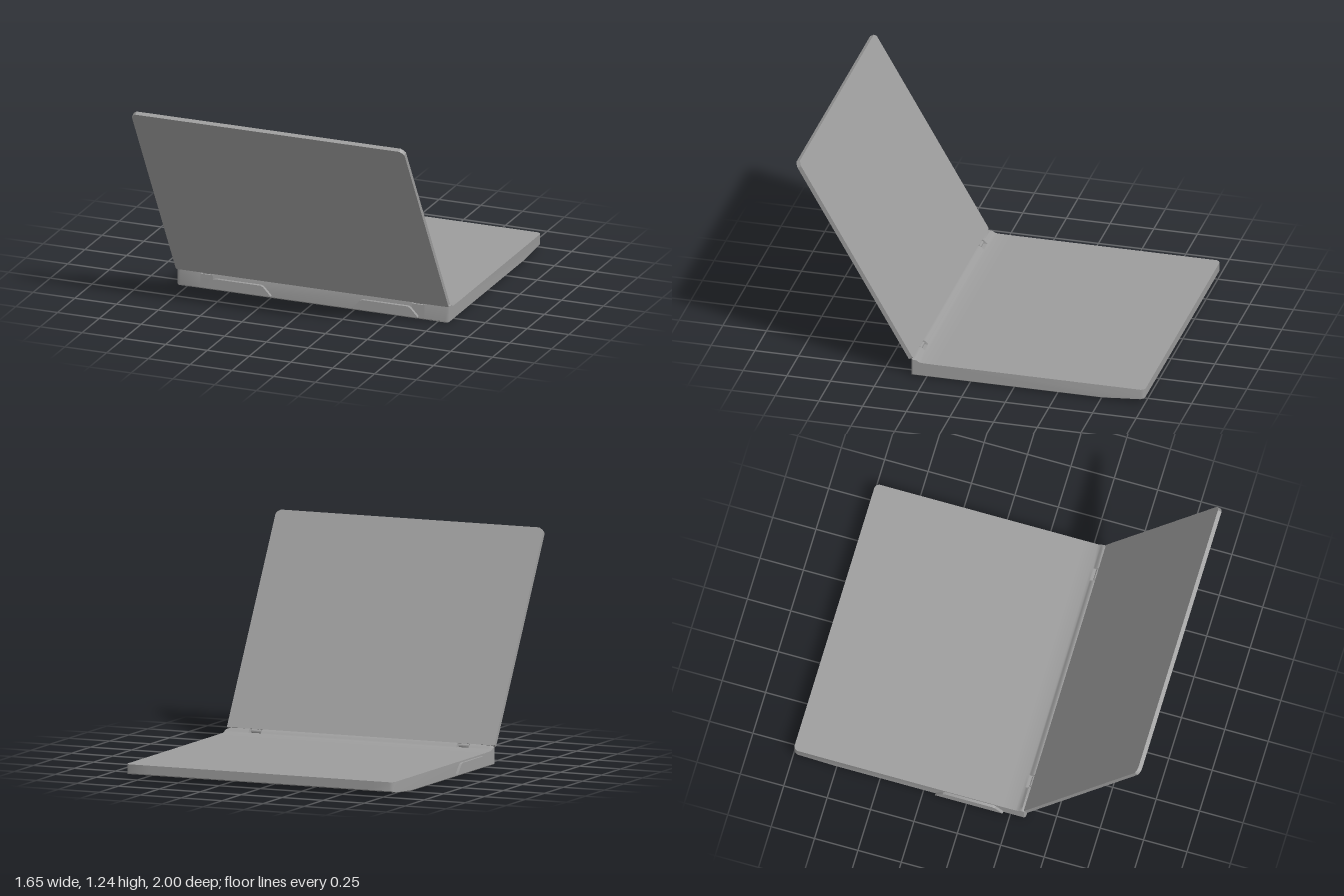
import * as THREE from 'three';
import { toCreasedNormals } from 'three/addons/utils/BufferGeometryUtils.js';

const darkGrey = new THREE.MeshStandardMaterial({ color: 0x9d9d9d });
const CENTRE = 0.005, HALF = 0.816;

function polygon(points) {
  return new THREE.Shape(points.map(([a, b]) => new THREE.Vector2(a, b)));
}

function extrude(points, depth, steps = 1) {
  return new THREE.ExtrudeGeometry(polygon(points), { depth, steps, bevelEnabled: false });
}

function addMesh(parent, name, geometry, crease = 0.4) {
  const mesh = new THREE.Mesh(toCreasedNormals(geometry, crease), darkGrey);
  mesh.name = name;
  parent.add(mesh);
  return mesh;
}

// Base: side profile (z, y) swept across x, narrowed at the rounded ends
// and lowered where the hinges sit in the rear ridge.
function baseGeometry() {
  const profile = [
    [-1, 0.085], [-1, 0.035], [-0.992, 0.029], [-0.975, 0.026], [-0.76, 0.003], [-0.7, 0],
    [0.325, 0], [0.338, 0.003], [0.345, 0.01], [0.345, 0.104], [0.34, 0.111],
    [0.325, 0.112], [0.315, 0.109], [0.303, 0.097], [0.295, 0.09], [0.28, 0.086],
    [0.2, 0.085],
  ];
  // [x, front limit, rear limit, lowest y, highest y]
  const half = [
    [HALF, -0.978, 0.328, 0.01, 0.1],
    [0.808, -0.992, 0.335, 0.004, 0.104],
    [0.792, -1, 0.339, 0, 0.108],
    [0.672, -1, 0.345, 0, 0.112],
    [0.67, -1, 0.345, 0, 0.09],
    [0.597, -1, 0.345, 0, 0.09],
    [0.595, -1, 0.345, 0, 0.112],
  ];
  const stations = [...half, ...half.map(([x, ...rest]) => [-x, ...rest]).reverse()];
  const count = stations.length - 1;
  const geometry = extrude(profile, count, count);
  const pos = geometry.attributes.position;
  const { clamp } = THREE.MathUtils;
  for (let i = 0; i < pos.count; i++) {
    const [x, front, rear, low, high] = stations[Math.round(pos.getZ(i))];
    pos.setXYZ(i, x, clamp(pos.getY(i), low, high), clamp(pos.getX(i), front, rear));
  }
  return geometry;
}

export function createModel() {
  const model = new THREE.Group();
  model.name = 'laptop';

  const base = addMesh(model, 'base', baseGeometry(), 0.7);
  base.position.x = CENTRE;

  // Lid: thin panel with chamfered upper corners, leaning back 30 degrees
  const L = 1.304, c = 0.026;
  const lid = addMesh(model, 'lid', extrude([
    [-HALF, 0.004], [-HALF + 0.004, 0], [HALF - 0.004, 0], [HALF, 0.004],
    [HALF, L - c], [HALF - 0.009, L - 0.012], [HALF - c, L],
    [-HALF + c, L], [-HALF + 0.009, L - 0.012], [-HALF, L - c],
  ], 0.024));
  lid.position.set(CENTRE, 0.111, 0.327);
  lid.rotation.x = Math.PI / 6;

  for (const side of [-1, 1]) {
    // Hinge barrel and arm in each notch of the ridge
    const x = CENTRE + side * 0.6335;
    const barrel = addMesh(model, 'hingeBarrel',
      new THREE.CylinderGeometry(0.011, 0.011, 0.06, 16).rotateZ(Math.PI / 2), 0.6);
    barrel.position.set(x, 0.098, 0.326);
    const arm = addMesh(model, 'hingeArm', new THREE.BoxGeometry(0.04, 0.03, 0.012));
    arm.position.set(x, 0.108, 0.334);
    arm.rotation.x = Math.PI / 6;

    // Raised trapezoid vents on the rear
    const vent = addMesh(model, 'rearVent', extrude([
      [-0.195, 0.02], [0.195, 0.02], [0.19, 0.028], [0.15, 0.07],
      [0.135, 0.076], [-0.135, 0.076], [-0.15, 0.07], [-0.19, 0.028],
    ], 0.028));
    vent.position.set(CENTRE + side * 0.44, 0, 0.336);
  }

  // Single raised vent on the right side
  const sideVent = addMesh(model, 'sideVent', extrude([
    [-0.18, 0.02], [0.21, 0.02], [0.205, 0.028], [0.165, 0.07],
    [0.15, 0.076], [-0.12, 0.076], [-0.135, 0.07], [-0.175, 0.028],
  ], 0.03).rotateY(-Math.PI / 2));
  sideVent.position.x = -0.796;

  return model;
}
